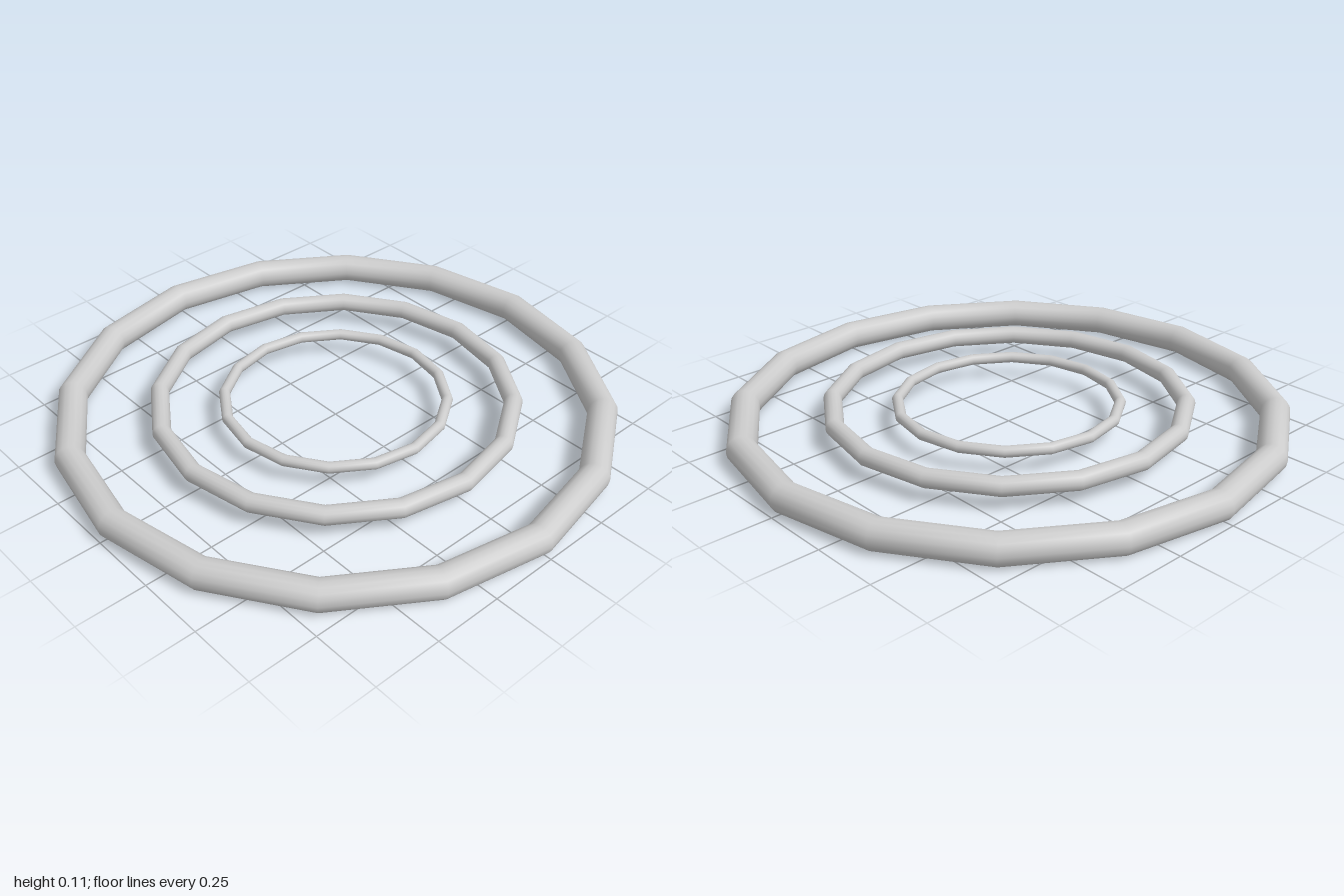
import * as THREE from 'three';

export function createModel() {
  const group = new THREE.Group();
  const material = new THREE.MeshStandardMaterial({ color: 0xcccccc });

  // Three concentric rings lying flat: name, ring radius, tube radius, height of centre
  const rings = [
    ['outerRing', 0.947, 0.053, 0.053],
    ['middleRing', 0.63, 0.033, 0.081],
    ['innerRing', 0.397, 0.02, 0.081],
  ];
  for (const [name, radius, tube, y] of rings) {
    const geometry = new THREE.TorusGeometry(radius, tube, 16, 16);
    geometry.rotateX(-Math.PI / 2);
    const ring = new THREE.Mesh(geometry, material);
    ring.name = name;
    ring.position.y = y;
    group.add(ring);
  }
  return group;
}
